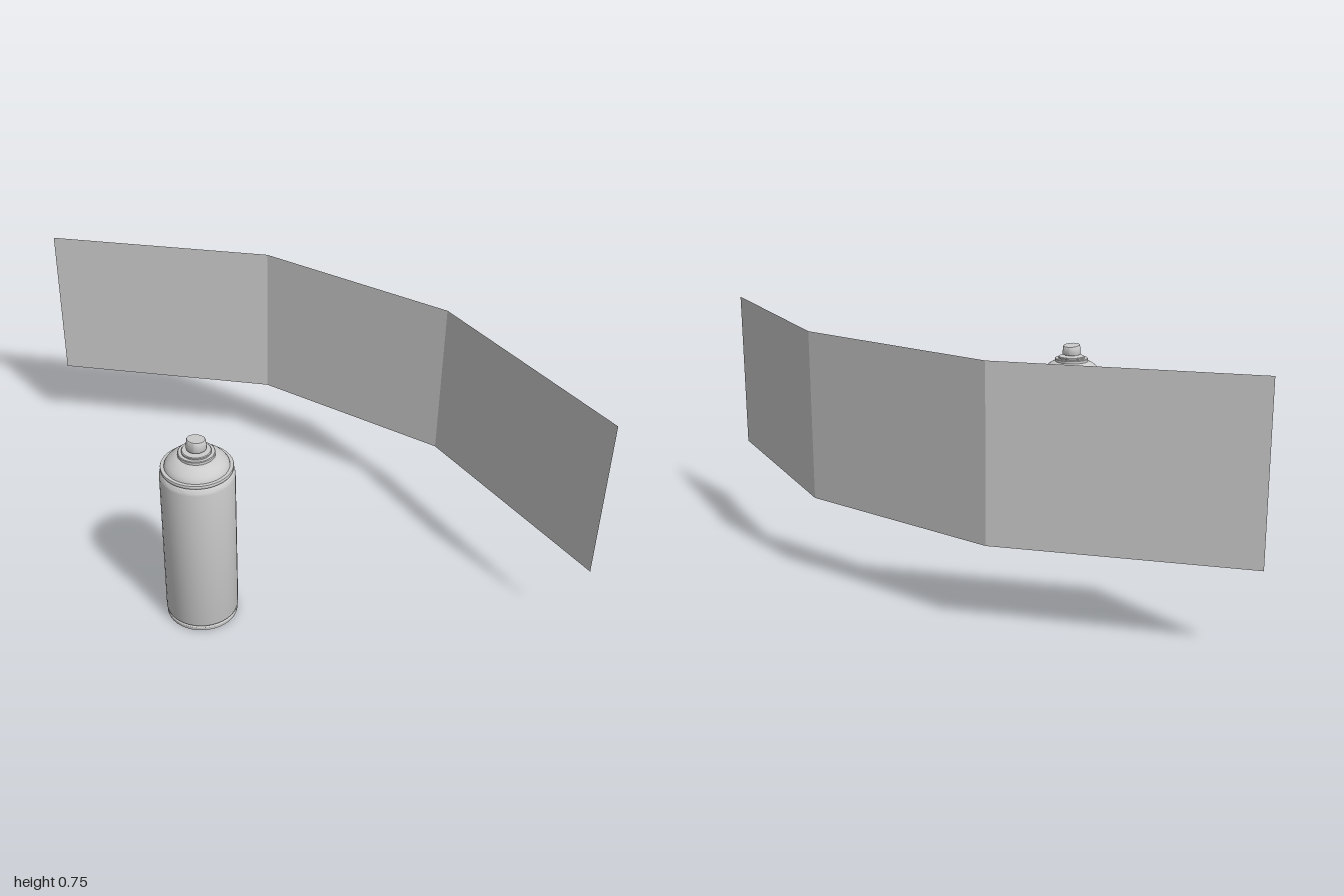
import * as THREE from 'three';
import { toCreasedNormals } from 'three/addons/utils/BufferGeometryUtils.js';

const SEGMENTS = 40;
const CAN_Z = 0.364;

function turned(name, profile, material, reshape) {
  const points = profile.map(([r, y]) => new THREE.Vector2(r, y));
  const geometry = new THREE.LatheGeometry(points, SEGMENTS);
  if (reshape) reshape(geometry.attributes.position);
  const mesh = new THREE.Mesh(toCreasedNormals(geometry, 0.6), material);
  mesh.name = name;
  return mesh;
}

// Zero-thickness wall of flat panels, bent around the can
function foldedPanel(material) {
  const corners = [[-1, -0.172], [-1 / 3, -0.474], [1 / 3, -0.474], [1, -0.172]];
  const geometry = new THREE.PlaneGeometry(2, 0.506, corners.length - 1, 1);
  const pos = geometry.attributes.position;
  for (let i = 0; i < pos.count; i++) {
    const [x, z] = corners[i % corners.length];
    pos.setXYZ(i, x, pos.getY(i) + 0.498, z);
  }
  const mesh = new THREE.Mesh(toCreasedNormals(geometry, 0.1), material);
  mesh.name = 'backdropPanel';
  return mesh;
}

export function createModel() {
  const model = new THREE.Group();
  model.name = 'sprayCanWithBackdrop';
  const grey = new THREE.MeshStandardMaterial({ color: 0xcccccc, side: THREE.DoubleSide });

  const can = new THREE.Group();
  can.name = 'sprayCan';
  can.position.z = CAN_Z;

  // Hollowed base with its rolled rim
  can.add(turned('base', [
    [0, 0.032], [0.035, 0.029], [0.065, 0.021], [0.085, 0.011], [0.097, 0.002],
    [0.1, 0], [0.106, 0], [0.107, 0.003], [0.107, 0.01], [0.105, 0.013], [0.103, 0.014],
  ], grey));

  // Cylindrical wall, necked in at both ends
  can.add(turned('body', [
    [0.103, 0.014], [0.107, 0.018], [0.109, 0.024], [0.109, 0.506],
    [0.108, 0.513], [0.105, 0.52], [0.1, 0.525], [0.1, 0.529],
  ], grey));

  // Seam ring and domed shoulder
  can.add(turned('shoulder', [
    [0.1, 0.528], [0.104, 0.528], [0.105, 0.53], [0.105, 0.536], [0.104, 0.538],
    [0.094, 0.538], [0.092, 0.545], [0.087, 0.552], [0.079, 0.56],
    [0.069, 0.567], [0.058, 0.573], [0.052, 0.574],
  ], grey));

  // Stepped valve cup and thin stem
  can.add(turned('valveCup', [
    [0.05, 0.573], [0.054, 0.574], [0.054, 0.582], [0.052, 0.584], [0.043, 0.584],
    [0.043, 0.588], [0.041, 0.59], [0.03, 0.59], [0.012, 0.592], [0.01, 0.6],
  ], grey));

  // Push nozzle, its top sloping down to the back
  can.add(turned('nozzle', [
    [0, 0.596], [0.029, 0.596], [0.03, 0.599], [0.0275, 0.624], [0.026, 0.626], [0, 0.626],
  ], grey, (pos) => {
    for (let i = 0; i < pos.count; i++) {
      if (pos.getY(i) > 0.61) pos.setY(i, pos.getY(i) + pos.getZ(i) * 0.12);
    }
  }));

  model.add(can, foldedPanel(grey));
  return model;
}
